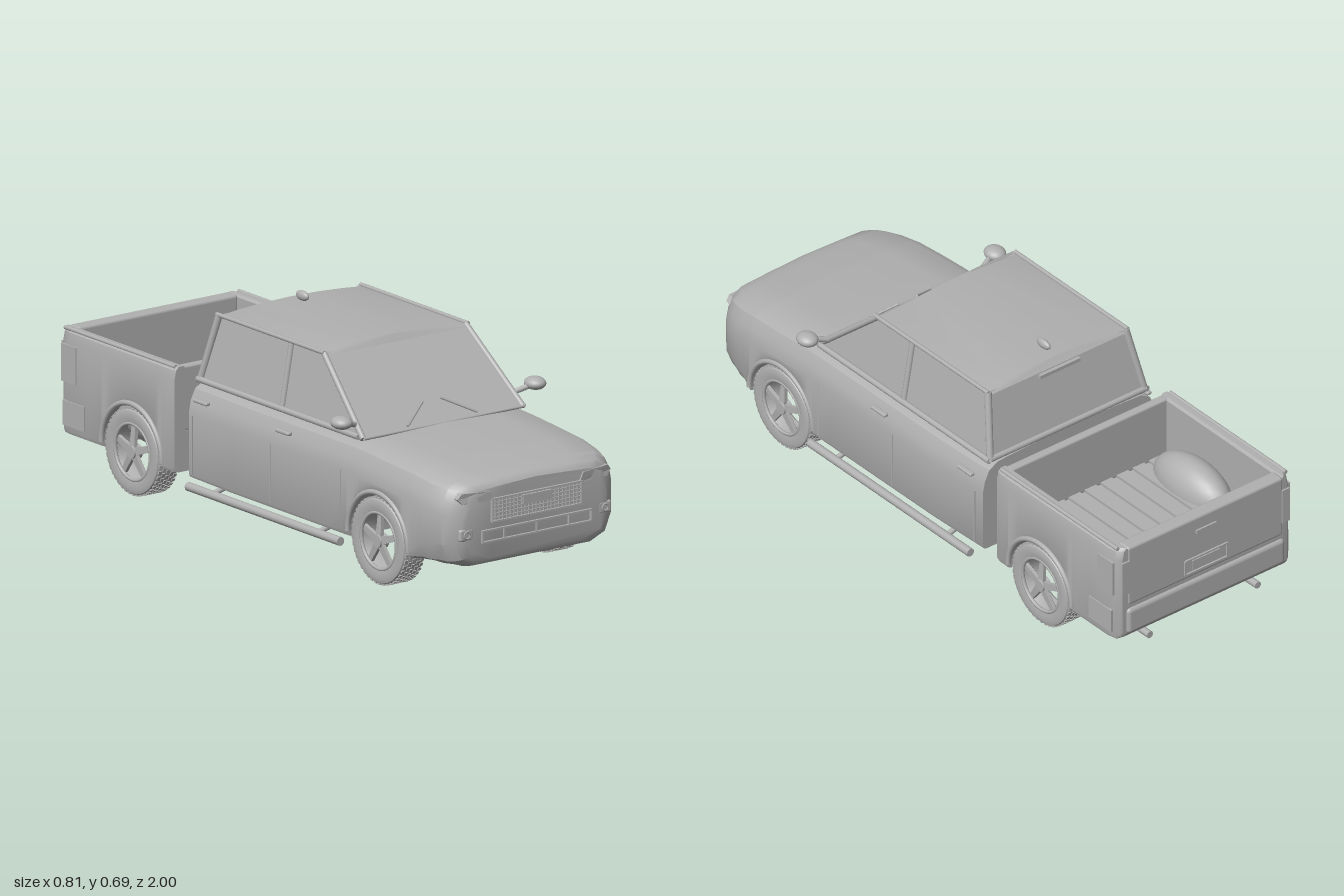
import * as THREE from 'three';
import { toCreasedNormals } from 'three/addons/utils/BufferGeometryUtils.js';
import { ConvexGeometry } from 'three/addons/geometries/ConvexGeometry.js';
import { RoundedBoxGeometry } from 'three/addons/geometries/RoundedBoxGeometry.js';

const V = (x, y, z) => new THREE.Vector3(x, y, z);
const grey = new THREE.MeshStandardMaterial({ color: 0xb0b0b0, side: THREE.DoubleSide });
grey.name = 'grey';

// Linear interpolation in a small [position, value] table
function table(z, rows) {
  if (z <= rows[0][0]) return rows[0][1];
  for (let i = 1; i < rows.length; i++) {
    const [a, b] = [rows[i - 1], rows[i]];
    if (z <= b[0]) return a[1] + (b[1] - a[1]) * (z - a[0]) / (b[0] - a[0]);
  }
  return rows[rows.length - 1][1];
}

// Mirrored skin through half sections [z, [[x, y]...]] with both ends capped
function loft(sections) {
  const pos = [], index = [];
  const rings = sections.map(([, h]) => [...h, ...h.slice(1, -1).reverse().map(([x, y]) => [-x, y])]);
  const n = rings[0].length, last = rings.length - 1;
  rings.forEach((r, i) => r.forEach(([x, y]) => pos.push(x, y, sections[i][0])));
  for (let i = 0; i < last; i++) for (let j = 0; j < n; j++) {
    const a = i * n + j, b = i * n + (j + 1) % n;
    index.push(a, b, a + n, b, b + n, a + n);
  }
  for (const i of [0, last]) {
    const contour = rings[i].map(([x, y]) => new THREE.Vector2(x, y));
    for (const [a, b, c] of THREE.ShapeUtils.triangulateShape(contour, []))
      index.push(...(i ? [a, b, c] : [a, c, b]).map(k => k + i * n));
  }
  const g = new THREE.BufferGeometry();
  g.setAttribute('position', new THREE.Float32BufferAttribute(pos, 3));
  g.setIndex(index);
  return toCreasedNormals(g, 0.55);
}

// Stations [z, underside height] over a wheel arch
const FLOOR = 0.12, HUB = 0.14, ARCH = 0.155, FRONT = 0.645, REAR = -0.615;
function arch(zc) {
  const out = [[zc - ARCH, FLOOR]];
  for (let i = 0; i <= 20; i++) {
    const t = Math.PI * (1 - i / 20);
    out.push([zc + ARCH * Math.cos(t), HUB + ARCH * Math.sin(t)]);
  }
  return [...out, [zc + ARCH, FLOOR]];
}

export function createModel() {
  const root = new THREE.Group();
  root.name = 'pickupTruck';
  const add = (name, geo, x = 0, y = 0, z = 0, parent = root) => {
    const m = new THREE.Mesh(geo, grey);
    m.name = name;
    m.position.set(x, y, z);
    parent.add(m);
    return m;
  };
  const box = (name, w, h, d, x, y, z, parent) => add(name, new THREE.BoxGeometry(w, h, d), x, y, z, parent);
  const ball = (name, rx, ry, rz, x, y, z) => add(name, new THREE.SphereGeometry(1, 24, 16).scale(rx, ry, rz), x, y, z);
  const bar = (name, a, b, r, sides = 10) => {
    const m = add(name, new THREE.CylinderGeometry(r, r, a.distanceTo(b), sides), 0, 0, 0);
    m.position.copy(a).add(b).multiplyScalar(0.5);
    m.quaternion.setFromUnitVectors(V(0, 1, 0), b.clone().sub(a).normalize());
    return m;
  };

  // Cab and bonnet shell
  const cabStations = [[-0.33, FLOOR], [-0.1, FLOOR], [0.15, FLOOR], [0.4, FLOOR], ...arch(FRONT),
    [0.82, 0.12], [0.85, 0.115], [0.88, 0.11], [0.91, 0.11], [0.94, 0.11], [0.96, 0.112], [0.975, 0.117], [0.985, 0.124], [0.99, 0.135]];
  add('cabBody', loft(cabStations.map(([z, yb]) => {
    const w = table(z, [[-0.33, 0.345], [-0.3, 0.353], [0.7, 0.355], [0.8, 0.352], [0.88, 0.345], [0.94, 0.328], [0.975, 0.3], [0.99, 0.272]]);
    const t = table(z, [[0.5, 0.43], [0.6, 0.425], [0.8, 0.41], [0.95, 0.387], [0.98, 0.376], [0.99, 0.362]]);
    const r = table(z, [[0.8, 0.015], [0.85, 0.06], [0.9, 0.08]]);
    const inner = Math.min(0.24, w - r - 0.01), yi = Math.min(yb, 0.24);
    return [z, [[0, yi], [inner, yi], [inner + 0.001, yb], [w - r, yb], [w - 0.3 * r, yb + 0.3 * r], [w, yb + r],
      [w, t - 0.1], [w - 0.008, t - 0.06], [w - 0.025, t - 0.025], [w - 0.06, t - 0.005], [w - 0.16, t], [0, t + 0.005]]];
  })));

  // Cargo bed: U section with inner walls and floor
  const bedStations = [[-0.99, 0.14], [-0.985, 0.13], [-0.97, 0.12], [-0.94, FLOOR], [-0.85, FLOOR], ...arch(REAR), [-0.42, FLOOR], [-0.4, FLOOR]];
  add('cargoBed', loft(bedStations.map(([z, yb]) => {
    const w = table(z, [[-0.99, 0.328], [-0.98, 0.34], [-0.95, 0.35], [-0.42, 0.352], [-0.4, 0.347]]);
    const yi = Math.min(yb, 0.235);
    return [z, [[0, yi], [0.24, yi], [0.241, yb], [w - 0.015, yb], [w - 0.004, yb + 0.004], [w, yb + 0.015], [w, 0.42],
      [w - 0.006, 0.448], [w - 0.016, 0.458], [0.312, 0.458], [0.305, 0.45], [0.305, 0.25], [0, 0.25]]];
  })));
  add('tailgate', new RoundedBoxGeometry(0.62, 0.215, 0.05, 3, 0.01), 0, 0.35, -0.968);
  add('bedFrontWall', new RoundedBoxGeometry(0.63, 0.21, 0.03, 3, 0.008), 0, 0.352, -0.416);
  for (let i = -4; i <= 4; i++) box('bedSlat', 0.045, 0.01, 0.51, i * 0.064, 0.254, -0.686);
  add('rearBumper', new RoundedBoxGeometry(0.63, 0.095, 0.05, 3, 0.016), 0, 0.185, -0.975);
  box('tailgateHandle', 0.08, 0.012, 0.008, 0, 0.405, -0.995);
  for (const y of [0.262, 0.312]) box('plateFrame', 0.17, 0.006, 0.01, 0, y, -0.994);
  for (const x of [-0.084, 0.084]) box('plateFrame', 0.006, 0.05, 0.01, x, 0.287, -0.994);
  box('rearPlate', 0.11, 0.034, 0.006, 0, 0.287, -0.994);
  box('chassisBridge', 0.52, 0.03, 0.1, 0, 0.136, -0.365);
  box('underfloorRib', 0.5, 0.008, 0.01, 0, 0.117, 0.08);
  box('frontCrossmember', 0.54, 0.02, 0.03, 0, 0.115, 0.44);

  // Glasshouse: windows, roof and surrounding frame
  const base = [[0.52, 0.428], [-0.325, 0.428]], top = [[0.27, 0.645], [-0.27, 0.645]];
  const core = [];
  for (const s of [-1, 1]) {
    base.forEach(([z, y]) => core.push(V(s * 0.308, y, z)));
    top.forEach(([z, y]) => core.push(V(s * 0.268, y, z)));
  }
  add('windows', toCreasedNormals(new ConvexGeometry(core), 0.3));
  const roof = [];
  for (const x of [-0.276, -0.2, -0.1, 0, 0.1, 0.2, 0.276]) {
    const y = 0.66 - 0.2 * x * x;
    for (const z of [-0.262, 0.262]) roof.push(V(x, y, z));
    for (const z of [-0.278, 0.278]) roof.push(V(x * 0.99, 0.638, z));
  }
  add('roof', toCreasedNormals(new ConvexGeometry(roof), 0.5));
  bar('windshieldSill', V(-0.31, 0.432, 0.52), V(0.31, 0.432, 0.52), 0.005);
  bar('rearWindowSill', V(-0.31, 0.438, -0.322), V(0.31, 0.438, -0.322), 0.01);
  box('highBrakeLight', 0.16, 0.012, 0.012, 0, 0.625, -0.281);
  ball('antenna', 0.012, 0.016, 0.03, 0, 0.675, -0.205);

  for (const s of [-1, 1]) {
    bar('frontPillar', V(s * 0.309, 0.43, 0.515), V(s * 0.274, 0.645, 0.268), 0.01);
    bar('rearPillar', V(s * 0.308, 0.43, -0.32), V(s * 0.274, 0.645, -0.268), 0.012);
    bar('middlePillar', V(s * 0.309, 0.43, 0.1), V(s * 0.271, 0.642, 0.1), 0.01);
    bar('roofRail', V(s * 0.278, 0.647, 0.275), V(s * 0.278, 0.647, -0.275), 0.007);
    bar('windowSill', V(s * 0.314, 0.435, 0.5), V(s * 0.314, 0.435, -0.325), 0.01);

    // Wiper lying on the windshield
    bar('wiper', V(s * 0.135, 0.442, 0.512), V(s * 0.035, 0.492, 0.456), 0.004, 6);

    // Mirror on its arm
    bar('mirrorArm', V(s * 0.3, 0.465, 0.47), V(s * 0.36, 0.485, 0.49), 0.009);
    ball('mirror', 0.033, 0.021, 0.038, s * 0.374, 0.489, 0.49);

    // Door seams and handles
    for (const z of [0.46, 0.1, -0.3]) box('doorSeam', 0.004, 0.19, 0.004, s * 0.354, 0.235, z);
    for (const z of [0.165, -0.255]) add('doorHandle', new RoundedBoxGeometry(0.018, 0.012, 0.07, 2, 0.005), s * 0.353, 0.382, z);

    // Step tube with brackets
    bar('stepTube', V(s * 0.37, 0.105, 0.48), V(s * 0.37, 0.105, -0.3), 0.014, 14);
    for (const z of [0.36, -0.18]) bar('stepBracket', V(s * 0.37, 0.105, z), V(s * 0.3, 0.125, z), 0.009);
    bar('exhaust', V(s * 0.215, 0.092, -0.93), V(s * 0.215, 0.092, -0.985), 0.012, 14);

    // Bed details
    ball('wheelHump', 0.08, 0.1, 0.17, s * 0.255, 0.25, -0.62);
    box('tailLightSide', 0.008, 0.12, 0.075, s * 0.35, 0.35, -0.935);
    box('tailLightRear', 0.03, 0.12, 0.008, s * 0.318, 0.35, -0.992);
    box('bumperCorner', 0.008, 0.08, 0.11, s * 0.35, 0.19, -0.91);
    bar('bedRail', V(s * 0.335, 0.457, -0.41), V(s * 0.335, 0.457, -0.975), 0.007);

    // Headlight, following the curve of the nose
    const lamp = new THREE.Shape([[0.165, 0.32], [0.28, 0.32], [0.296, 0.338], [0.282, 0.355], [0.18, 0.35]]
      .map(([x, y]) => new THREE.Vector2(s * x, y)));
    const lampGeo = new THREE.ExtrudeGeometry(lamp, { depth: 0.035, bevelEnabled: false });
    const p = lampGeo.attributes.position;
    for (let i = 0; i < p.count; i++) p.setZ(i, p.getZ(i) - 1.6 * Math.max(0, Math.abs(p.getX(i)) - 0.2) ** 2);
    lampGeo.computeVertexNormals();
    add('headlight', lampGeo, 0, 0, 0.96);

    // Fog lamp
    add('fogLampHousing', new RoundedBoxGeometry(0.052, 0.04, 0.04, 2, 0.008), s * 0.267, 0.222, 0.971);
    add('fogLamp', new THREE.TorusGeometry(0.011, 0.003, 6, 20), s * 0.267, 0.222, 0.991);
  }

  // Grille mesh and number plate
  const frame = (name, w, h, y, t) => {
    for (const s of [-1, 1]) {
      box(name, w, t, 0.012, 0, y + s * h / 2, 0.992);
      box(name, t, h + t, 0.012, s * w / 2, y, 0.992);
    }
  };
  frame('grilleFrame', 0.345, 0.072, 0.287, 0.005);
  for (let i = 1; i < 24; i++) box('grilleBar', 0.003, 0.072, 0.006, -0.1725 + i * 0.0144, 0.287, 0.992);
  for (let i = 1; i < 6; i++) box('grilleBar', 0.345, 0.003, 0.006, 0, 0.251 + i * 0.012, 0.992);
  box('frontPlate', 0.11, 0.03, 0.009, 0, 0.302, 0.994);

  // Lower intake
  frame('lowerIntakeFrame', 0.42, 0.036, 0.208, 0.005);
  for (const x of [-0.125, 0, 0.125]) box('intakeDivider', 0.005, 0.036, 0.008, x, 0.208, 0.992);

  // Wheels: tyre, tread, rim, spokes and arch trim
  const tyreProfile = [[0.094, -0.04], [0.118, -0.045], [0.132, -0.041], [0.137, -0.032], [0.137, 0.032], [0.132, 0.041], [0.118, 0.045],
    [0.094, 0.04], [0.088, 0.03], [0.086, -0.03], [0.094, -0.04]].map(([r, y]) => new THREE.Vector2(r, y));
  const tyreGeo = toCreasedNormals(new THREE.LatheGeometry(tyreProfile, 48), 0.6).rotateZ(-Math.PI / 2);
  const blockGeo = new THREE.BoxGeometry(0.012, 0.006, 0.011);
  const spokeGeo = toCreasedNormals(new ConvexGeometry([0.028, 0.04].flatMap(x => [-1, 1].flatMap(k =>
    [V(x, 0.012, k * 0.013), V(x - 0.006, 0.09, k * 0.009)])).concat(V(0.02, 0.012, 0), V(0.015, 0.09, 0))), 0.3);
  for (const s of [-1, 1]) for (const zc of [FRONT, REAR]) {
    const wheel = new THREE.Group();
    wheel.name = 'wheel';
    wheel.position.set(s * 0.31, HUB, zc);
    wheel.rotation.y = s > 0 ? 0 : Math.PI;
    root.add(wheel);
    add('tyre', tyreGeo, 0, 0, 0, wheel);
    for (let row = 0; row < 5; row++) for (let i = 0; i < 44; i++) {
      const a = (i + (row % 2) / 2) / 44 * Math.PI * 2;
      add('treadBlock', blockGeo, (row - 2) * 0.0155, Math.cos(a) * 0.137, Math.sin(a) * 0.137, wheel).rotation.x = a;
    }
    add('rimRing', new THREE.TorusGeometry(0.09, 0.006, 8, 40).rotateY(Math.PI / 2), 0.036, 0, 0, wheel);
    for (let i = 0; i < 5; i++) add('spoke', spokeGeo, 0, 0, 0, wheel).rotation.x = i / 5 * Math.PI * 2;
    add('hub', new THREE.CylinderGeometry(0.02, 0.024, 0.03, 20).rotateZ(-Math.PI / 2), 0.03, 0, 0, wheel);
    add('archTrim', new THREE.TorusGeometry(ARCH, 0.009, 8, 32, Math.PI).rotateY(Math.PI / 2), s * 0.351, HUB, zc);
  }
  return root;
}
